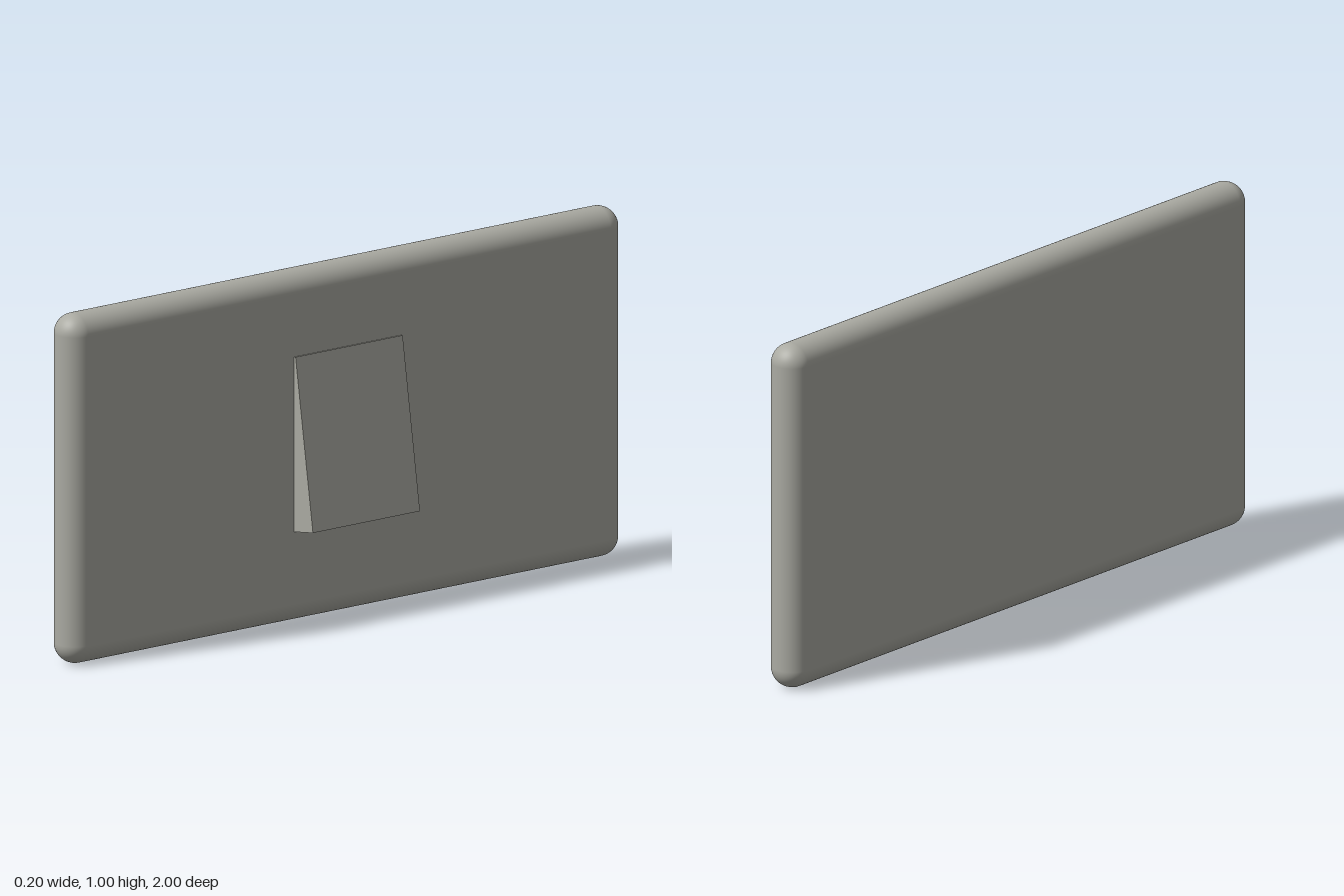
import * as THREE from 'three';
import { RoundedBoxGeometry } from 'three/addons/geometries/RoundedBoxGeometry.js';

export function createModel() {
  const model = new THREE.Group();
  const warmGrey = new THREE.MeshStandardMaterial({ color: 0xaaaaa2 });
  warmGrey.name = 'warmGrey';

  // Upright slab with fully rounded edges
  const panel = new THREE.Mesh(new RoundedBoxGeometry(0.117, 1, 2, 8, 0.058), warmGrey);
  panel.name = 'panel';
  panel.position.set(-0.0415, 0.5, 0);
  model.add(panel);

  // Tilted block, half sunk in the slab; its origin is the lower outer edge
  const height = 0.494, depth = 0.1, width = 0.386;
  const geometry = new THREE.BoxGeometry(depth, height, width);
  geometry.translate(-depth / 2, height / 2, 0);
  const block = new THREE.Mesh(geometry, warmGrey);
  block.name = 'tiltedBlock';
  block.position.set(0.1, 0.277, 0.008);
  block.rotation.z = Math.atan2(0.075, 0.488);
  model.add(block);

  return model;
}
